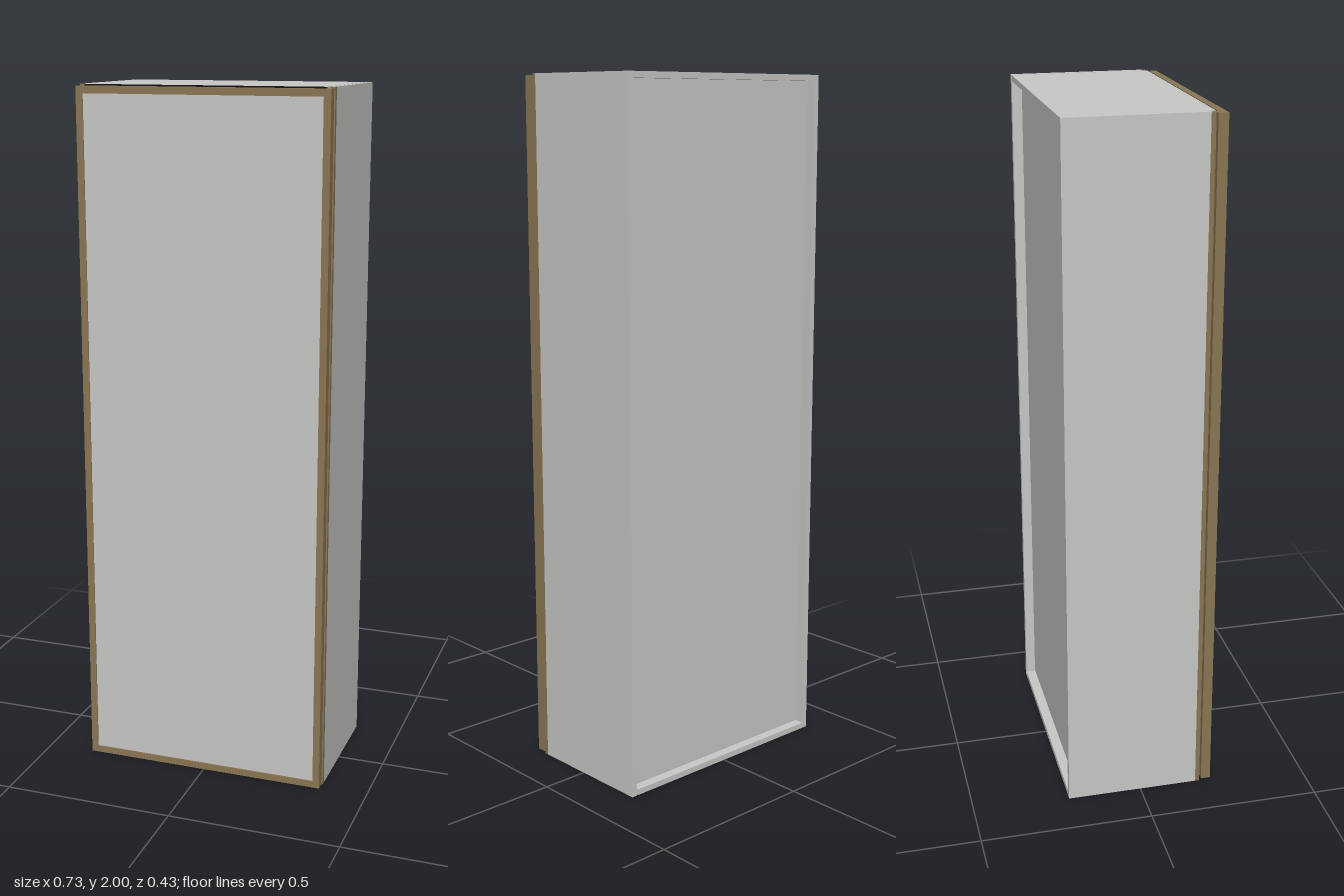
import * as THREE from 'three';

const mat = (name, color) => {
  const m = new THREE.MeshStandardMaterial({ color });
  m.name = name;
  return m;
};

export function createModel() {
  const grey = mat('grey board', 0xc8c8c6);
  const bronze = mat('bronze aluminium', 0x8a7654);
  const black = mat('black edging', 0x141414);
  const model = new THREE.Group();
  model.name = 'cabinet';

  // Box given by its minimum and maximum corners
  const box = (name, material, [x0, y0, z0], [x1, y1, z1], parent = model) => {
    const mesh = new THREE.Mesh(new THREE.BoxGeometry(x1 - x0, y1 - y0, z1 - z0), material);
    mesh.position.set((x0 + x1) / 2, (y0 + y1) / 2, (z0 + z1) / 2);
    mesh.name = name;
    parent.add(mesh);
    return mesh;
  };

  const W = 0.363, T = 0.017, BACK = -0.217, EDGE = 0.186;
  const xL = -W + T, xR = 0.342; // boards stop just short of one side

  // Side panels, each with an angled grip profile along its front edge
  for (const s of [-1, 1]) {
    const side = new THREE.Group();
    side.name = s < 0 ? 'rightSide' : 'leftSide';
    const span = (a, b) => (s < 0 ? [-b, -a] : [a, b]);
    const part = (name, m, a, b, z0, z1) => {
      const [x0, x1] = span(a, b);
      box(name, m, [x0, 0, z0], [x1, 2, z1], side);
    };
    part('sidePanel', grey, W - T, W, BACK, 0.17);
    part('gripProfileOuterLeg', bronze, W - 0.004, W, 0.17, 0.179);
    part('gripProfileFrontLeg', bronze, W - 0.014, W, 0.179, 0.183);
    model.add(side);
  }

  // Top and bottom boards with black front edging
  for (const [name, y] of [['bottomBoard', 0], ['topBoard', 2 - T]]) {
    box(name, grey, [xL, y, BACK], [xR, y + T, EDGE]);
    box(name + 'Edging', black, [xL, y, EDGE], [xR, y + T, EDGE + 0.002]);
  }

  // Inner shelves
  for (const y of [0.385, 0.79, 1.2, 1.61]) {
    box('shelf', grey, [xL, y - 0.006, -0.18], [xR, y + 0.006, EDGE - 0.002]);
    box('shelfEdging', black, [xL, y - 0.006, EDGE - 0.002], [xR, y + 0.006, EDGE + 0.001]);
  }

  // Recessed back panel
  box('backPanel', grey, [-W + T, T, -0.188], [W - T, 2 - T, -0.18]);

  // Door: bronze frame around a slightly recessed panel
  const door = new THREE.Group();
  door.name = 'door';
  const w = 0.361, lo = 0.004, hi = 1.996, f = 0.02;
  const frame = new THREE.Shape([[-w, lo], [w, lo], [w, hi], [-w, hi]].map(p => new THREE.Vector2(...p)));
  frame.holes.push(new THREE.Path(
    [[-w + f, lo + f], [-w + f, hi - f], [w - f, hi - f], [w - f, lo + f]].map(p => new THREE.Vector2(...p))));
  const doorFrame = new THREE.Mesh(
    new THREE.ExtrudeGeometry(frame, { depth: 0.028, bevelEnabled: false }), bronze);
  doorFrame.position.z = 0.189;
  doorFrame.name = 'doorFrame';
  door.add(doorFrame);
  box('doorPanel', grey, [-w + f, lo + f, 0.193], [w - f, hi - f, 0.214], door);
  model.add(door);

  return model;
}
